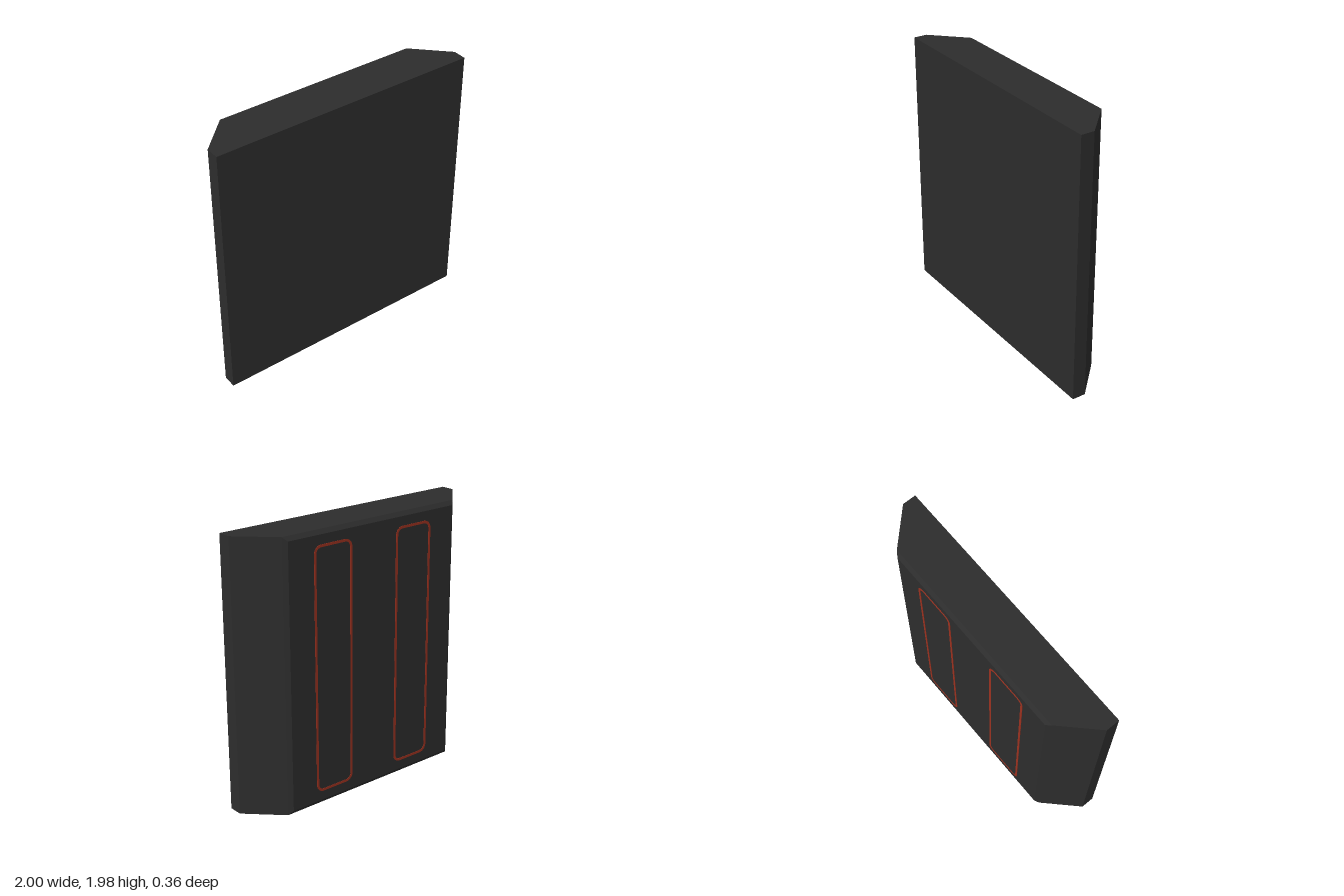
import * as THREE from 'three';

const HEIGHT = 1.975;

// Rectangular cross-sections from front to back: [z, half width, vertical inset]
const SECTIONS = [
  [0.18, 1.0, 0],
  [0.08, 1.0, 0],
  [-0.157, 0.763, 0],
  [-0.18, 0.73, 0.03],
];

function panelGeometry() {
  const pos = [];
  const index = [];
  for (const [z, w, inset] of SECTIONS) {
    const top = HEIGHT - inset;
    pos.push(-w, inset, z, w, inset, z, w, top, z, -w, top, z);
  }
  for (let s = 0; s < SECTIONS.length - 1; s++) {
    for (let i = 0; i < 4; i++) {
      const a = s * 4 + i;
      const b = s * 4 + ((i + 1) % 4);
      index.push(a, a + 4, b + 4, a, b + 4, b);
    }
  }
  // Front and back caps
  const k = (SECTIONS.length - 1) * 4;
  index.push(0, 1, 2, 0, 2, 3, k, k + 2, k + 1, k, k + 3, k + 2);

  const indexed = new THREE.BufferGeometry();
  indexed.setAttribute('position', new THREE.Float32BufferAttribute(pos, 3));
  indexed.setIndex(index);
  const geometry = indexed.toNonIndexed();
  geometry.computeVertexNormals();
  return geometry;
}

// Adds a rounded rectangle centred on the origin to a shape or path
function roundedRect(path, w, h, r) {
  const x = w / 2 - r;
  const y = h / 2 - r;
  path.absarc(x, y, r, 0, Math.PI / 2);
  path.absarc(-x, y, r, Math.PI / 2, Math.PI);
  path.absarc(-x, -y, r, Math.PI, Math.PI * 1.5);
  path.absarc(x, -y, r, Math.PI * 1.5, Math.PI * 2);
  path.closePath();
  return path;
}

export function createModel() {
  const charcoal = new THREE.MeshStandardMaterial({ color: 0x2d2d2d });
  charcoal.name = 'charcoal';
  const rustRed = new THREE.MeshStandardMaterial({ color: 0x9c3220 });
  rustRed.name = 'rust red';

  const model = new THREE.Group();
  model.name = 'panel';

  // Slab with slanted sides and a bevelled back
  const body = new THREE.Mesh(panelGeometry(), charcoal);
  body.name = 'panelBody';
  model.add(body);

  // Two thin rounded outlines on the back
  const line = 0.018;
  const w = 0.325;
  const h = 1.78;
  const outline = roundedRect(new THREE.Shape(), w, h, 0.06);
  outline.holes.push(roundedRect(new THREE.Path(), w - 2 * line, h - 2 * line, 0.06 - line));
  const stripGeometry = new THREE.ExtrudeGeometry(outline, {
    depth: 0.004,
    bevelEnabled: false,
    curveSegments: 6,
  });
  for (const side of [-1, 1]) {
    const strip = new THREE.Mesh(stripGeometry, rustRed);
    strip.name = side > 0 ? 'leftBackOutline' : 'rightBackOutline';
    strip.position.set(side * 0.36, HEIGHT / 2, -0.183);
    model.add(strip);
  }
  return model;
}
